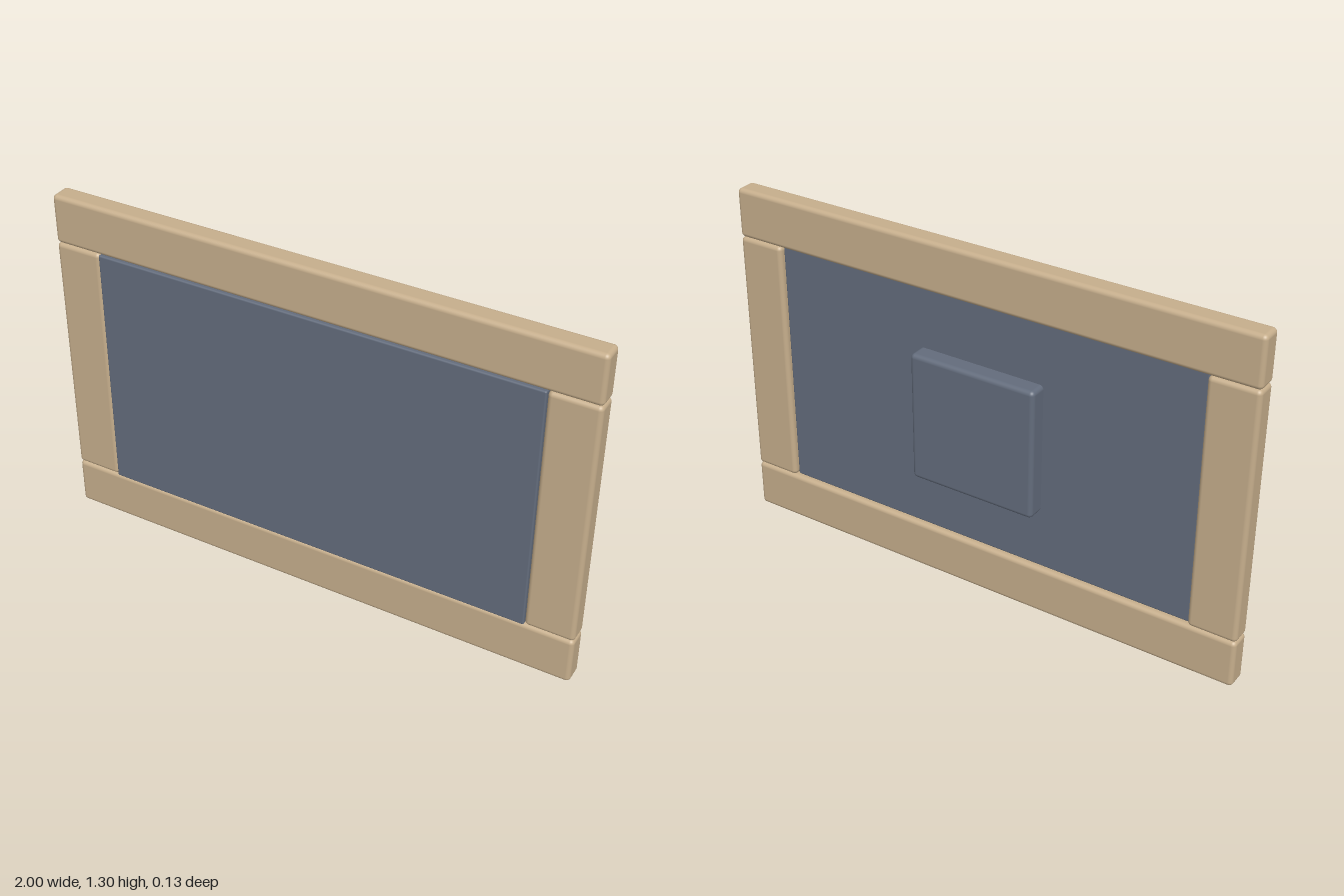
import * as THREE from 'three';
import { RoundedBoxGeometry } from 'three/addons/geometries/RoundedBoxGeometry.js';

export function createModel() {
  const group = new THREE.Group();
  const wood = new THREE.MeshStandardMaterial({ color: 0xc6ae8c });
  wood.name = 'tan wood';
  const slate = new THREE.MeshStandardMaterial({ color: 0x636c7c });
  slate.name = 'slate grey';

  // Rounded block given by its min and max corners
  function block(name, material, min, max, radius) {
    const [w, h, d] = max.map((v, i) => v - min[i]);
    const mesh = new THREE.Mesh(new RoundedBoxGeometry(w, h, d, 4, radius), material);
    mesh.position.set(...max.map((v, i) => (v + min[i]) / 2));
    mesh.name = name;
    group.add(mesh);
  }

  const back = -0.02, front = 0.06, height = 1.298, rail = 0.182, r = 0.016;

  // Frame: full-width rails with posts between them
  block('bottomRail', wood, [-1, 0, back], [1, rail, front], r);
  block('topRail', wood, [-1, height - rail, back], [1, height, front], r);
  block('rightPost', wood, [-1, rail, back], [-0.822, height - rail, front], r);
  block('leftPost', wood, [0.822, rail, back], [1, height - rail, front], r);

  // Panel: just proud of the frame in front, recessed behind
  block('panel', slate, [-0.822, rail, 0], [0.822, height - rail, 0.063], 0.006);

  // Mounting pad on the back
  block('backPad', slate, [-0.244, 0.405, -0.063], [0.244, 0.893, 0.02], r);

  return group;
}
